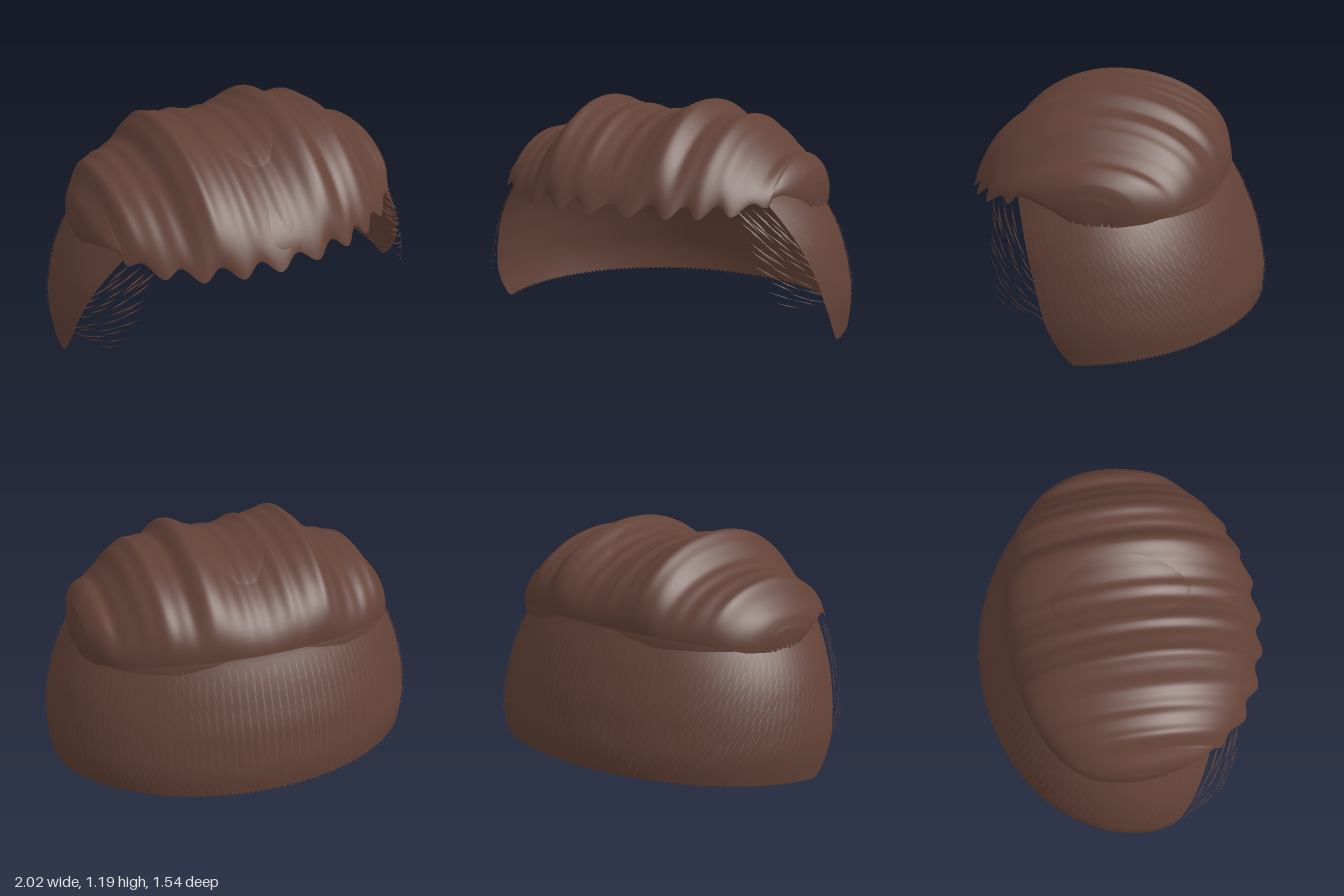
import * as THREE from 'three';

// Piecewise-linear lookup in [position, value] pairs
function lookup(table, p) {
  if (p <= table[0][0]) return table[0][1];
  for (let i = 1; i < table.length; i++) {
    const [a, va] = table[i - 1], [b, vb] = table[i];
    if (p <= b) return va + (vb - va) * (p - a) / (b - a);
  }
  return table[table.length - 1][1];
}
const smooth = (table, p, d) =>
  [-1, -0.5, 0, 0.5, 1].reduce((sum, k) => sum + lookup(table, p + k * d), 0) / 5;

function buildGeometry(pos, idx) {
  const g = new THREE.BufferGeometry();
  g.setAttribute('position', new THREE.Float32BufferAttribute(pos, 3));
  g.setIndex(idx);
  g.computeVertexNormals();
  return g;
}

// Smooth sheet from a rule fn(u, v, column) -> [x, y, z]
function sheet(nu, nv, fn) {
  const pos = [], idx = [];
  for (let j = 0; j <= nv; j++)
    for (let i = 0; i <= nu; i++) pos.push(...fn(i / nu, j / nv, i));
  for (let j = 0; j < nv; j++)
    for (let i = 0; i < nu; i++) {
      const a = j * (nu + 1) + i, b = a + nu + 1;
      idx.push(a, b, a + 1, a + 1, b, b + 1);
    }
  return buildGeometry(pos, idx);
}

// Short sides: half width, back depth and front edge by height
const ZC = 0.04;
const HALF_WIDTH = [[0, 0.98], [0.1, 0.995], [0.2, 1], [0.35, 0.98], [0.5, 0.94], [0.6, 0.895], [0.7, 0.835], [0.78, 0.78]];
const BACK_DEPTH = [[0, 0.785], [0.1, 0.8], [0.2, 0.805], [0.42, 0.76], [0.6, 0.69], [0.7, 0.64], [0.78, 0.59]];
const FRONT_EDGE = [[0, 0.07], [0.03, 0.11], [0.1, 0.165], [0.2, 0.22], [0.42, 0.29], [0.75, 0.4]];

function sidePoint(angle, y, out = 0) {
  const s = Math.sin(angle);
  const depth = s > 0 ? smooth(BACK_DEPTH, y, 0.04) : 0.78;
  return [(smooth(HALF_WIDTH, y, 0.04) + out) * Math.cos(angle), y, ZC - (depth + out) * s];
}
const frontAngle = y => Math.asin((lookup(FRONT_EDGE, y) - ZC) / 0.78);

function shortSides() {
  return sheet(240, 26, (u, v, i) => {
    const rim = 0.003 + 0.067 * Math.sin(Math.PI * u) + (v === 0 && i % 2 ? 0.01 : 0);
    const y = rim + (0.78 - rim) * v;
    const f = frontAngle(y);
    return sidePoint(-f + u * (Math.PI + 2 * f), y);
  });
}

// Long top: crest height by x, hem height by z, fringe lobes by x
const CREST = [[-0.85, 0.7], [-0.835, 0.79], [-0.82, 0.83], [-0.77, 0.88], [-0.7, 0.98], [-0.65, 1.005], [-0.55, 1.01],
  [-0.45, 1.07], [-0.4, 1.14], [-0.35, 1.19], [-0.25, 1.15], [-0.15, 1.14], [-0.05, 1.11], [0, 1.1], [0.1, 1.12],
  [0.2, 1.17], [0.25, 1.205], [0.3, 1.15], [0.35, 1.12], [0.5, 1.115], [0.55, 1.07], [0.62, 1], [0.68, 0.95],
  [0.79, 0.91], [0.835, 0.84], [0.85, 0.7]];
const HEM = [[-0.6, 0.76], [-0.4, 0.72], [-0.25, 0.68], [0, 0.655], [0.1, 0.67], [0.2, 0.73], [0.35, 0.78],
  [0.45, 0.75], [0.6, 0.74], [0.8, 0.738]];
const LOBES = [-0.75, -0.61, -0.44, -0.25, -0.06, 0.15, 0.34, 0.48, 0.62, 0.75];

// 1 at the tip of each fringe lobe, 0 between lobes
function scallop(x) {
  for (let i = 1; i < LOBES.length; i++)
    if (x >= LOBES[i - 1] && x <= LOBES[i])
      return 0.5 + 0.5 * Math.cos(2 * Math.PI * (x - LOBES[i - 1]) / (LOBES[i] - LOBES[i - 1]));
  return 0;
}

// Footprint of one front-to-back column; u runs across the head
function column(u) {
  const a = (u - 0.5) * Math.PI, arc = Math.max(0, Math.cos(a));
  return {
    x: 0.845 * Math.sin(a), arc,
    zBack: 0.03 - 0.605 * Math.pow(arc, 0.7),
    zFront: 0.03 + 0.7 * Math.pow(arc, 0.8),
  };
}

// v runs from the back hem over the crest to the fringe
function topPoint(u, v, lift = 0) {
  const { x, arc, zBack, zFront } = column(u), phi = v * Math.PI;
  const t = (1 - Math.cos(phi)) / 2, rise = Math.pow(Math.max(0, Math.sin(phi)), v > 0.5 ? 1.35 : 1);
  const hem = lookup(HEM, zBack) * (1 - t) + smooth(HEM, zFront, 0.03) * t;
  const fade = Math.min(1, arc * 8);
  const strand = 0.004 * Math.sin(x * 70) + 0.004 * Math.sin(x * 43 + 1);
  const height = Math.max(0, smooth(CREST, x, 0.018) + strand - hem) * fade + lift;
  const ridge = (hem + height - (0.68 + 0.47 * arc)) * fade;
  const tip = scallop(x) * Math.pow(v, 5) * Math.min(1, arc * 1.3);
  return [
    x * (1 + 0.01 * rise),
    hem + height * rise - 0.058 * tip,
    zBack + (zFront - zBack) * t + 0.04 * tip - Math.cos(phi) * Math.sin(phi) * ridge * 0.5,
  ];
}

// Smooth hollow lining beneath the long top
function lining() {
  return sheet(100, 30, (u, v) => {
    const { x, arc, zBack, zFront } = column(u), phi = v * Math.PI;
    const t = (1 - Math.cos(phi)) / 2;
    const hem = Math.min(0.69, lookup(HEM, zBack)) * (1 - t) + smooth(HEM, zFront, 0.03) * t;
    return [x * 0.985, hem + 0.35 * arc * Math.pow(Math.max(0, Math.sin(phi)), v > 0.5 ? 1.35 : 1),
      zBack + (zFront - zBack) * t];
  });
}

// Leaf-shaped lock lying in the central valley
function centreLock() {
  return sheet(24, 28, (u, v) => {
    const end = Math.sin(Math.PI * v), across = 2 * u - 1;
    const w = 0.075 * Math.pow(end, 0.6);
    return topPoint(0.507 + across * w, 0.27 + 0.4 * v, -0.004 + 0.018 * (1 - across * across) * Math.sqrt(Math.max(0, end)));
  });
}

// Fine tapered strands following the short sides
function strands(list) {
  const pos = [], idx = [];
  for (const { angle, y, turn, drop, width } of list) {
    const n = pos.length / 3;
    pos.push(...sidePoint(angle, y, 0.002));
    pos.push(...sidePoint(angle + turn / 2 - width, y - drop / 2, 0.01));
    pos.push(...sidePoint(angle + turn / 2 + width, y - drop / 2, 0.01));
    pos.push(...sidePoint(angle + turn, y - drop, 0.012));
    idx.push(n, n + 1, n + 2, n + 2, n + 1, n + 3);
  }
  return buildGeometry(pos, idx);
}

export function createModel() {
  const hair = new THREE.MeshStandardMaterial({ color: 0x624136, side: THREE.DoubleSide });
  hair.name = 'brown hair';

  let seed = 7;
  const rand = () => (seed = (seed * 16807) % 2147483647) / 2147483647;

  // Strands in rows round the sides and back
  const rows = [];
  for (let j = 0; j < 12; j++)
    for (let i = 0; i < 84; i++) {
      const y = 0.15 + j * 0.051 + (rand() - 0.5) * 0.03;
      const f = frontAngle(y) - 0.05;
      const angle = -f + (i + 0.5) / 84 * (Math.PI + 2 * f);
      if (y < 0.27 - 0.15 * Math.sin(angle)) continue;
      rows.push({ angle, y, turn: 0.075 * Math.cos(angle), drop: 0.085, width: 0.005 });
    }

  // Loose wisps in front of each ear, flatter towards the bottom
  const wisps = [];
  for (let j = 0; j < 8; j++)
    for (let i = 0; i < 4; i++) {
      const y = 0.27 + j * 0.064 + (rand() - 0.5) * 0.04;
      const f = frontAngle(y);
      const reach = Math.min(0.34, 0.7 - f);
      const angle = -f - 0.03 - reach * (i + 0.3 + rand() * 0.6) / 4;
      const turn = 0.17 - j * 0.011, drop = 0.045 + j * 0.012;
      wisps.push({ angle, y, turn, drop, width: 0.008 });
      wisps.push({ angle: Math.PI - angle, y, turn: -turn, drop, width: 0.008 });
    }

  const group = new THREE.Group();
  group.name = 'hair';
  const add = (name, geometry) => {
    const mesh = new THREE.Mesh(geometry, hair);
    mesh.name = name;
    group.add(mesh);
  };
  add('shortSides', shortSides());
  add('longTop', sheet(220, 40, (u, v) => topPoint(u, v)));
  add('topLining', lining());
  add('centreLock', centreLock());
  add('sideStrands', strands(rows));
  add('looseWisps', strands(wisps));
  return group;
}
